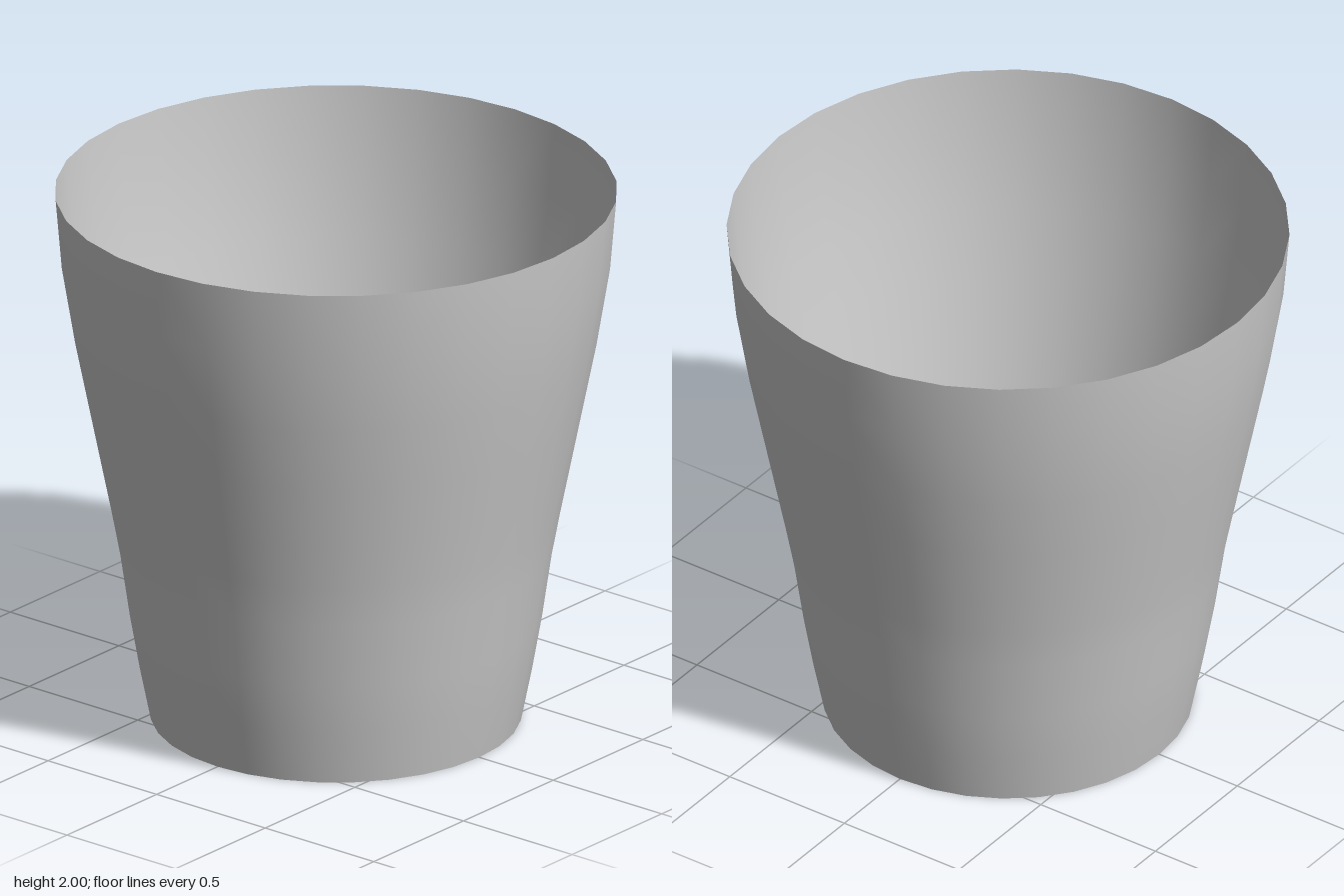
import * as THREE from 'three';

export function createModel() {
  const group = new THREE.Group();
  group.name = 'cup';

  // Wall outline from the open base to the flared rim: [radius, height]
  const profile = [
    [0.66, 0], [0.70, 0.2], [0.735, 0.4], [0.77, 0.64], [0.80, 0.8],
    [0.834, 0.97], [0.88, 1.2], [0.93, 1.45], [0.978, 1.74], [1, 2],
  ].map(([r, y]) => new THREE.Vector2(r, y));

  // Thin open sleeve, visible from inside and outside
  const wall = new THREE.Mesh(
    new THREE.LatheGeometry(profile, 32),
    new THREE.MeshStandardMaterial({ color: 0xcccccc, side: THREE.DoubleSide })
  );
  wall.name = 'cupWall';
  group.add(wall);
  return group;
}
